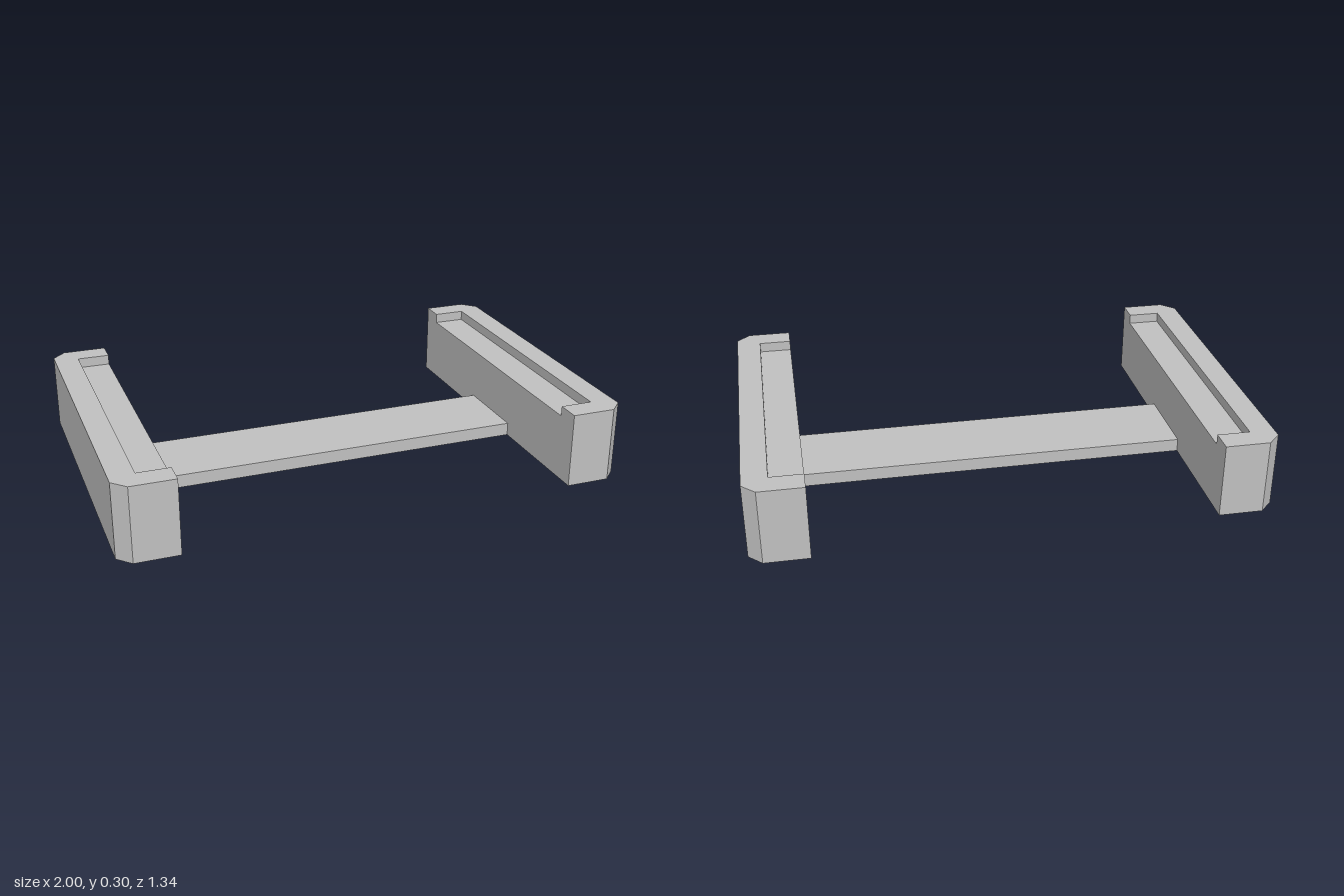
import * as THREE from 'three';

const INNER = 0.774, OUTER = 1, HALF = 0.67, CHAMFER = 0.052;
const POCKET_X = 0.903, POCKET_Z = 0.575;
const HEIGHT = 0.3, LEDGE = 0.26;

// Extrudes a plan outline upward from y0 to y1.
function slab(points, y0, y1) {
  const shape = new THREE.Shape(points.map(([x, z]) => new THREE.Vector2(x, z)));
  const geometry = new THREE.ExtrudeGeometry(shape, { depth: y1 - y0, bevelEnabled: false });
  return geometry.rotateX(-Math.PI / 2).translate(0, y0, 0);
}

export function createModel() {
  const model = new THREE.Group();
  model.name = 'bracket';
  const grey = new THREE.MeshStandardMaterial({ color: 0xc0c0c0 });
  grey.name = 'grey';

  const add = (parent, name, geometry) => {
    const mesh = new THREE.Mesh(geometry, grey);
    mesh.name = name;
    parent.add(mesh);
  };

  // Rail outline with its two outer corners cut off
  const outline = [
    [INNER, -HALF], [OUTER - CHAMFER, -HALF], [OUTER, -HALF + CHAMFER],
    [OUTER, HALF - CHAMFER], [OUTER - CHAMFER, HALF], [INNER, HALF],
  ];
  // Rim: the same outline with a shallow pocket open to the inside
  const rim = [
    ...outline,
    [INNER, POCKET_Z], [POCKET_X, POCKET_Z], [POCKET_X, -POCKET_Z], [INNER, -POCKET_Z],
  ];
  const bodyGeometry = slab(outline, 0, LEDGE);
  const rimGeometry = slab(rim, LEDGE, HEIGHT);

  // Two end rails, the second turned to face the first
  for (const [name, turn] of [['leftRail', 0], ['rightRail', Math.PI]]) {
    const rail = new THREE.Group();
    rail.name = name;
    rail.rotation.y = turn;
    add(rail, 'railBody', bodyGeometry);
    add(rail, 'railRim', rimGeometry);
    model.add(rail);
  }

  // Flat bar joining the rails
  const bar = new THREE.BoxGeometry(2 * INNER, 0.053, 0.326);
  add(model, 'crossBar', bar.translate(0, 0.0265, 0));

  return model;
}
